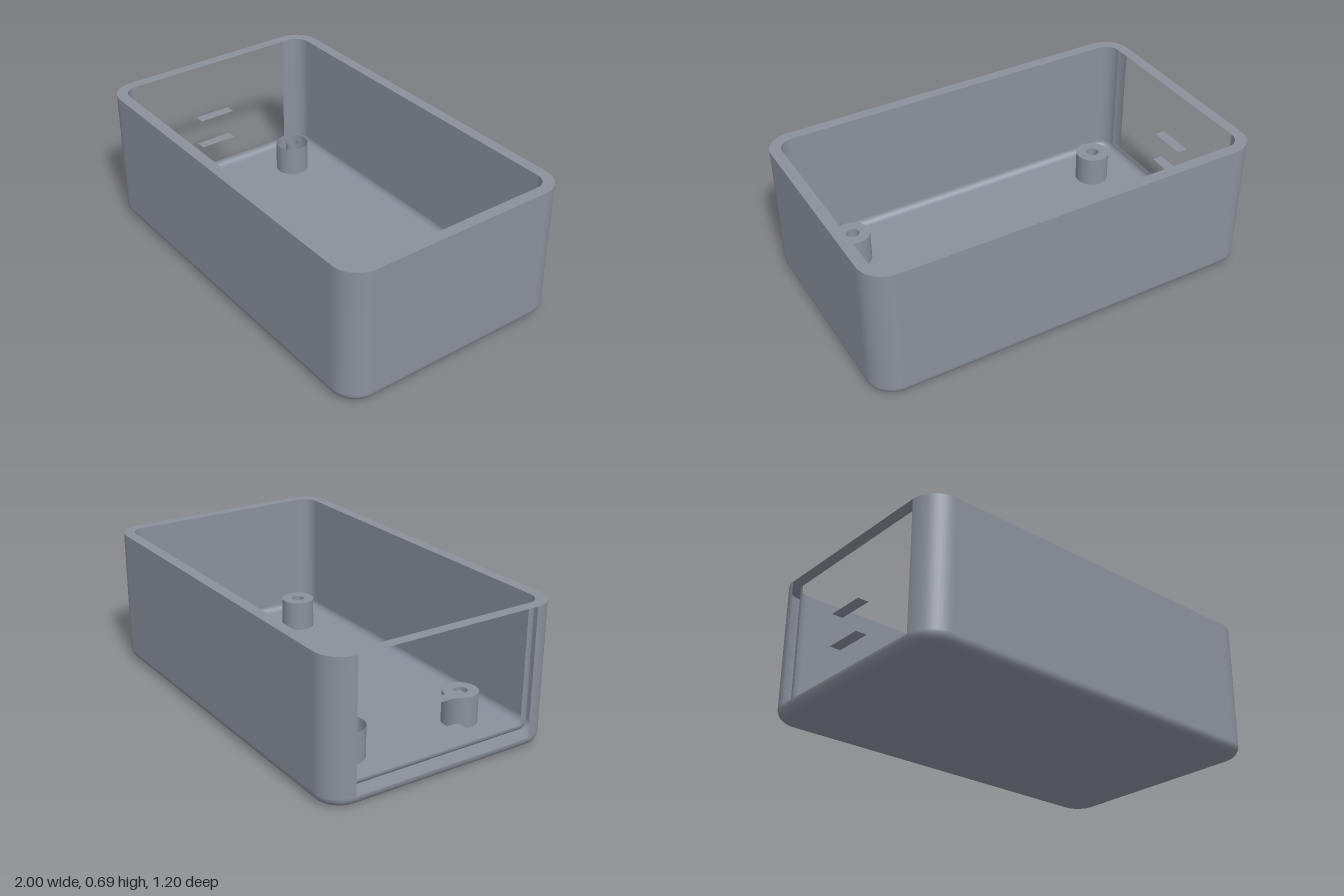
import * as THREE from 'three';

const HX = 1, HZ = 0.6, H = 0.685;      // half width, half depth, height
const CORNER = 0.13, WALL = 0.055;      // outer corner radius, wall thickness
const FILLET = 0.05, INNER_FILLET = 0.035;
const SEG = 12;

// Rounded-rectangle loop, inset from the outer outline
function ring(inset) {
  const r = CORNER - inset, points = [];
  for (let k = 0; k < 4; k++) {
    const sx = k === 0 || k === 3 ? 1 : -1, sz = k < 2 ? 1 : -1;
    for (let i = 0; i <= SEG; i++) {
      const a = (k + i / SEG) * Math.PI / 2, c = Math.cos(a), s = Math.sin(a);
      points.push({ x: sx * (HX - CORNER) + r * c, z: sz * (HZ - CORNER) + r * s, c, s });
    }
  }
  return points;
}

// Skin between stations [inset, y, outward normal, upward normal]
function band(stations, openSide = false) {
  const position = [], normal = [], index = [], n = 4 * (SEG + 1);
  for (const [inset, y, out, up] of stations) {
    for (const p of ring(inset)) {
      position.push(p.x, y, p.z);
      normal.push(p.c * out, up, p.s * out);
    }
  }
  for (let s = 0; s < stations.length - 1; s++) {
    for (let j = 0; j < n; j++) {
      if (openSide && j === 2 * (SEG + 1) - 1) continue; // open end at -x
      const a = s * n + j, b = s * n + (j + 1) % n;
      index.push(a, a + n, b, b, a + n, b + n);
    }
  }
  const g = new THREE.BufferGeometry();
  g.setAttribute('position', new THREE.Float32BufferAttribute(position, 3));
  g.setAttribute('normal', new THREE.Float32BufferAttribute(normal, 3));
  g.setIndex(index);
  return g;
}

// Flat rounded-rectangle panel facing up or down
function panel(inset, y, up) {
  const shape = new THREE.Shape(ring(inset).map(p => new THREE.Vector2(p.x, p.z)));
  const g = new THREE.ShapeGeometry(shape);
  g.rotateX(up ? -Math.PI / 2 : Math.PI / 2);
  return g.translate(0, y, 0);
}

export function createModel() {
  const group = new THREE.Group();
  group.name = 'enclosure';
  const grey = new THREE.MeshStandardMaterial({ color: 0x8a909c, side: THREE.DoubleSide });
  grey.name = 'slate grey';
  const add = (name, geometry, parent = group) => {
    const mesh = new THREE.Mesh(geometry, grey);
    mesh.name = name;
    parent.add(mesh);
    return mesh;
  };

  // Rounded bottom edges, outside and inside
  const outer = [], inner = [];
  for (let i = 0; i <= 8; i++) {
    const t = i / 8 * Math.PI / 2, c = Math.cos(t), s = Math.sin(t);
    outer.push([FILLET * (1 - s), FILLET * (1 - c), s, -c]);
    inner.push([WALL + INNER_FILLET * (1 - c), WALL + INNER_FILLET * (1 - s), -c, s]);
  }
  // The inner list runs from floor edge (t = 90) up; order it wall first
  add('outerBottomEdge', band(outer));
  add('innerBottomEdge', band(inner));

  // Walls, with the -x end left open under the rim
  add('outerWall', band([[0, FILLET, 1, 0], [0, H, 1, 0]], true));
  add('innerWall', band([[WALL, H, -1, 0], [WALL, WALL + INNER_FILLET, -1, 0]], true));
  add('rim', band([[0, H, 0, 1], [WALL, H, 0, 1]]));

  // Underside and inside floor
  add('underside', panel(FILLET, 0, false));
  add('floor', panel(WALL + INNER_FILLET, WALL, true));

  // Standoffs with screw holes
  const top = 0.21, height = top - WALL;
  for (const x of [-0.7, 0.7]) {
    for (const z of [-0.315, 0.315]) {
      const standoff = new THREE.Group();
      standoff.name = 'standoff';
      standoff.position.set(x, WALL, z);
      group.add(standoff);
      add('post', new THREE.CylinderGeometry(0.085, 0.085, height, 32, 1, true), standoff).position.y = height / 2;
      add('screwHole', new THREE.CylinderGeometry(0.033, 0.033, height, 24, 1, true), standoff).position.y = height / 2;
      if (x > 0 || z > 0) {
        const cap = new THREE.RingGeometry(0.033, 0.085, 32).rotateX(-Math.PI / 2);
        add('postTop', cap, standoff).position.y = height;
      }
    }
  }

  // Upper and lower ledges of the port at the open end
  for (const y of [0.205, 0.365]) {
    const ledge = new THREE.PlaneGeometry(WALL, 0.2).rotateX(-Math.PI / 2);
    add('portLedge', ledge).position.set(-HX + WALL / 2, y, 0);
  }
  return group;
}
